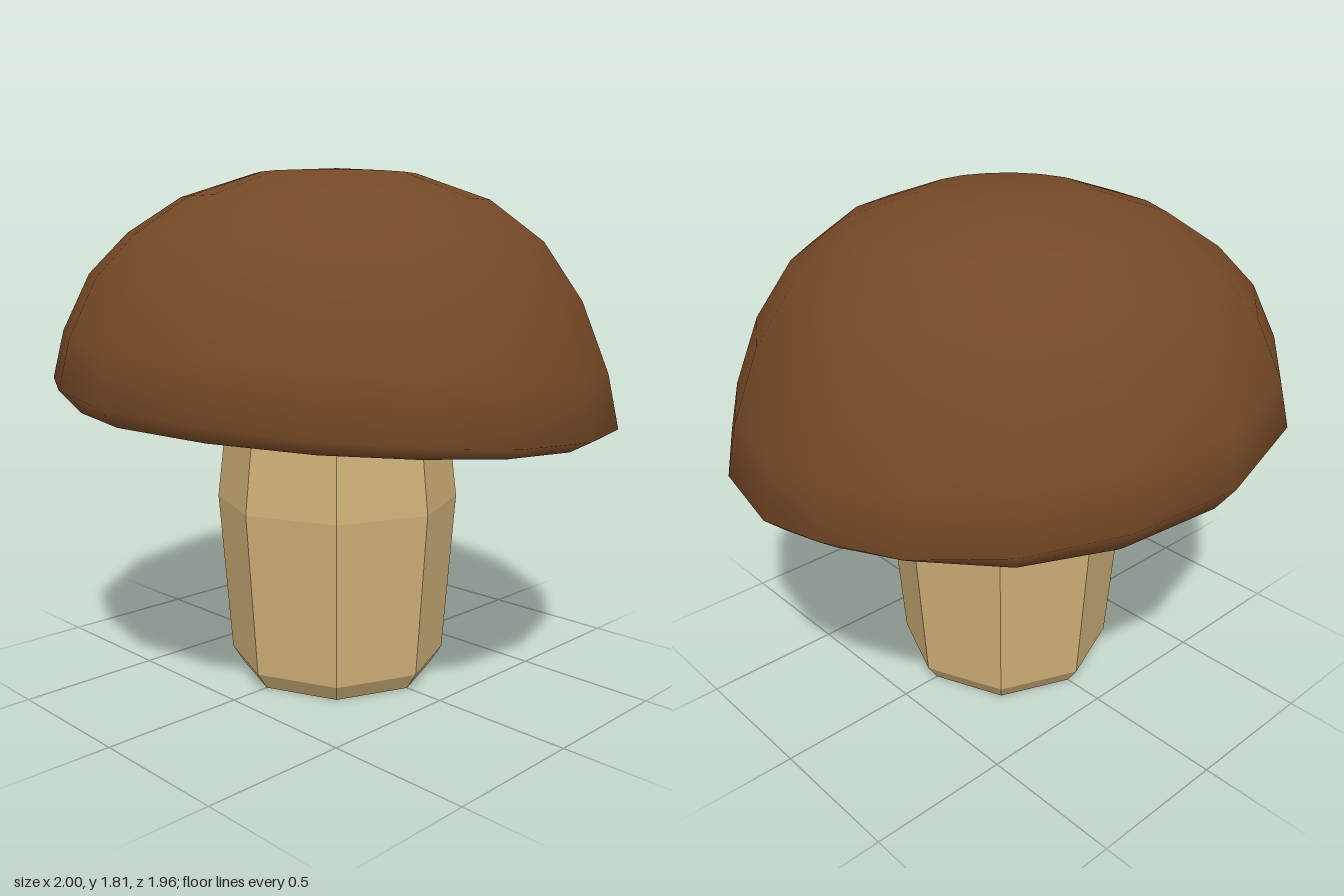
import * as THREE from 'three';
import { mergeVertices } from 'three/addons/utils/BufferGeometryUtils.js';

// Slightly uneven rim outline as [x, z], running from the front towards +x
const RIM = [
  [0.12, 0.98], [0.48, 0.86], [0.73, 0.66], [0.92, 0.35], [1, 0], [0.96, -0.24],
  [0.86, -0.51], [0.65, -0.75], [0.35, -0.91], [-0.03, -0.98], [-0.47, -0.86], [-0.78, -0.62],
  [-0.93, -0.33], [-1, 0], [-0.92, 0.36], [-0.74, 0.66], [-0.5, 0.85], [-0.22, 0.97],
];
// Gentle waves of the lower lip, one value per rim point
const WAVE = [0, 0, 0.025, 0.01, 0, 0.015, 0.03, 0.01, 0, 0, 0, 0, 0, 0, 0, 0, 0, 0];

// Rings are [radius, height, slope along x, slope along z, wave amount]
function ringSurface(rings) {
  const positions = [], index = [], n = RIM.length;
  for (const [r, y, sx, sz, wave] of rings) {
    RIM.forEach(([x, z], j) => {
      positions.push(x * r, y + sx * x * r + sz * z * r + wave * WAVE[j], z * r);
    });
  }
  for (let i = 0; i < rings.length - 1; i++) {
    for (let j = 0; j < n; j++) {
      const k = (j + 1) % n;
      const a = i * n + j, b = i * n + k, c = b + n, d = a + n;
      if (rings[i][0] > 0) index.push(a, b, c);
      if (rings[i + 1][0] > 0) index.push(a, c, d);
      else if (rings[i][0] === 0) index.push(a, c, d);
    }
  }
  const g = new THREE.BufferGeometry();
  g.setAttribute('position', new THREE.Float32BufferAttribute(positions, 3));
  g.setIndex(index);
  const merged = mergeVertices(g); // joins the centre points
  merged.computeVertexNormals();
  return merged;
}

export function createModel() {
  const group = new THREE.Group();
  group.name = 'mushroom';

  const capBrown = new THREE.MeshStandardMaterial({ color: 0x744826 });
  capBrown.name = 'capBrown';
  const gillGrey = new THREE.MeshStandardMaterial({ color: 0xa28986 });
  gillGrey.name = 'gillGrey';
  const stemTan = new THREE.MeshStandardMaterial({ color: 0xcfb078 });
  stemTan.name = 'stemTan';

  const add = (name, geometry, material) => {
    const mesh = new THREE.Mesh(geometry, material);
    mesh.name = name;
    group.add(mesh);
  };

  // Eight-sided faceted stem, bulging in the middle, bevelled at the foot
  const profile = [[0, 0], [0.35, 0], [0.39, 0.06], [0.435, 0.64], [0.385, 1.07]];
  const stem = new THREE.LatheGeometry(profile.map(([x, y]) => new THREE.Vector2(x, y)), 8).toNonIndexed();
  stem.computeVertexNormals();
  add('stem', stem, stemTan);

  // Smooth domed cap, leaning a little to the front and left
  add('cap', ringSurface([
    [0.93, 0.94, -0.066, -0.025, 1],
    [1, 1.005, -0.065, -0.05, 0],
    [0.96, 1.18, -0.062, -0.042, 0],
    [0.865, 1.4, -0.04, -0.035, 0],
    [0.73, 1.57, -0.01, -0.02, 0],
    [0.545, 1.7, 0, -0.015, 0],
    [0.285, 1.787, 0, -0.01, 0],
    [0, 1.807, 0, 0, 0],
  ]), capBrown);

  // Shallow hollow underside of the cap
  add('capUnderside', ringSurface([
    [0, 1.05, 0, 0, 0],
    [0.4, 1.03, -0.06, -0.03, 0],
    [0.72, 0.99, -0.065, -0.028, 0.4],
    [0.93, 0.94, -0.066, -0.025, 1],
  ]), gillGrey);

  return group;
}
